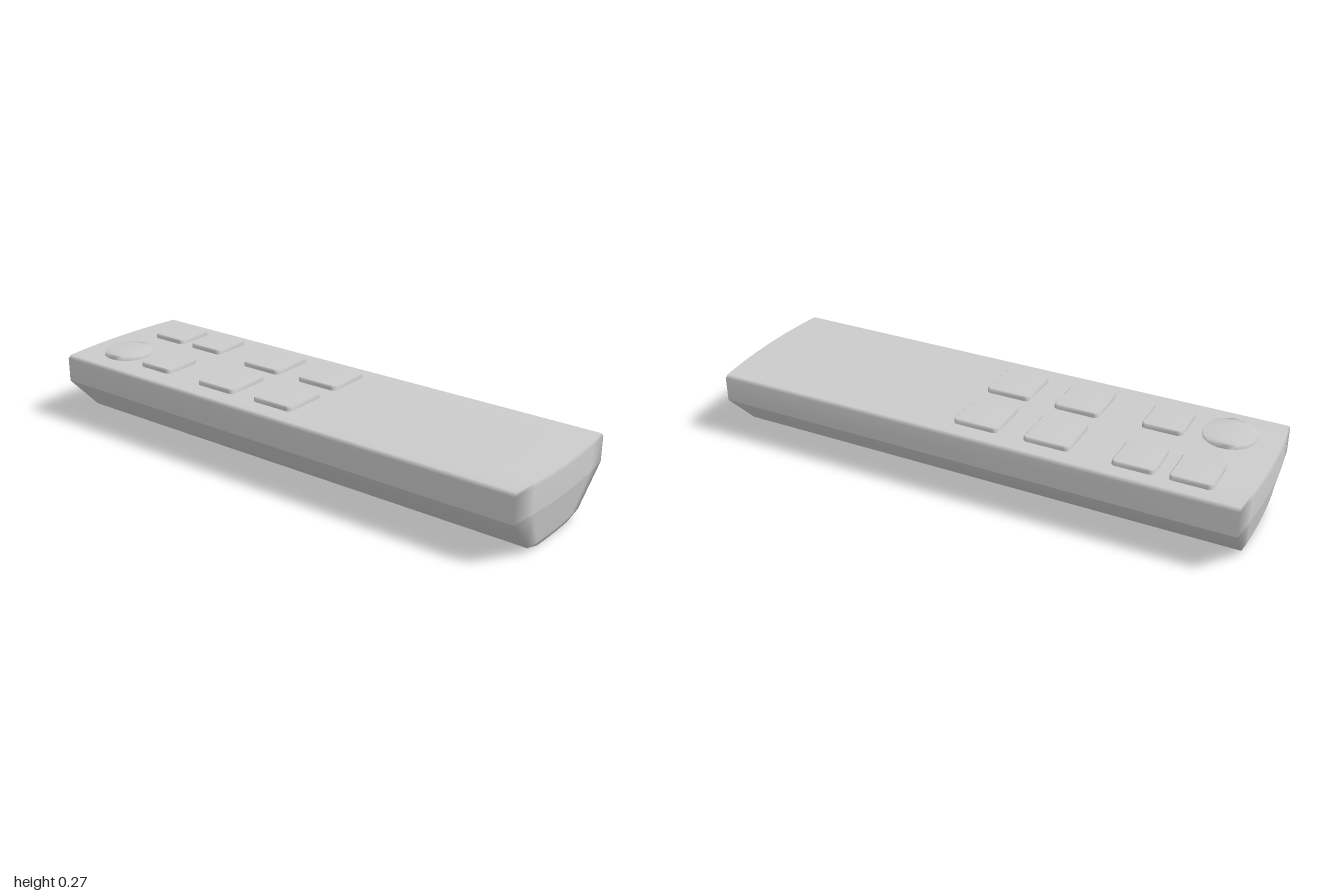
import * as THREE from 'three';

const material = new THREE.MeshStandardMaterial({ color: 0xcccccc });

// Stacks outlines upwards. Each ring is { y, half }, where half lists the
// [x, z] points of the +x side from front to back; the -x side is mirrored.
function loft(rings, capBottom, capTop) {
  const m = rings[0].half.length, n = m * 2;
  const pos = [], idx = [];
  for (const { y, half } of rings) {
    for (const [x, z] of half) pos.push(x, y, z);
    for (const [x, z] of [...half].reverse()) pos.push(-x, y, z);
  }
  for (let r = 0; r < rings.length - 1; r++) {
    for (let i = 0; i < n; i++) {
      const a = r * n + i, b = r * n + (i + 1) % n;
      idx.push(a, b, b + n, a, b + n, a + n);
    }
  }
  const top = (rings.length - 1) * n;
  for (let i = 0; i < m - 1; i++) {
    const j = n - 1 - i;
    if (capTop) idx.push(top + i, top + i + 1, top + j, top + i + 1, top + j - 1, top + j);
    if (capBottom) idx.push(i, j, i + 1, i + 1, j, j - 1);
  }
  const geo = new THREE.BufferGeometry();
  geo.setAttribute('position', new THREE.Float32BufferAttribute(pos, 3));
  geo.setIndex(idx);
  geo.computeVertexNormals();
  return geo;
}

// Body outline with gently bowed ends
function bodyRing(y, hx, hz) {
  const half = [];
  for (let i = 0; i <= 6; i++) {
    const z = hz * (1 - i / 3);
    half.push([hx - 0.02 * (z / 0.292) ** 2, z]);
  }
  return { y, half };
}

// Rounded rectangle outline
function rectRing(y, hx, hz, r) {
  const half = [];
  for (const s of [1, -1]) {
    for (let i = 0; i <= 3; i++) {
      const a = (s > 0 ? 1 - i / 3 : -i / 3) * Math.PI / 2;
      half.push([hx - r + r * Math.cos(a), s * (hz - r) + r * Math.sin(a)]);
    }
  }
  return { y, half };
}

// Sixteen-sided round outline
function roundRing(y, r) {
  const half = [];
  for (let i = 0; i < 8; i++) {
    const a = Math.PI / 2 - (i + 0.5) * Math.PI / 8;
    half.push([r * Math.cos(a), r * Math.sin(a)]);
  }
  return { y, half };
}

export function createModel() {
  const model = new THREE.Group();
  const add = (name, geo, x = 0, z = 0) => {
    const mesh = new THREE.Mesh(geo, material);
    mesh.name = name;
    mesh.position.set(x, 0, z);
    model.add(mesh);
  };

  // Tapered underside and straight upper housing meet at a sharp seam
  add('lowerHousing', loft([
    bodyRing(0, 0.97, 0.1),
    bodyRing(0.02, 0.977, 0.17),
    bodyRing(0.152, 1, 0.292),
  ], true, false));
  add('upperHousing', loft([
    bodyRing(0.152, 1, 0.292),
    bodyRing(0.244, 1, 0.292),
    bodyRing(0.256, 0.996, 0.281),
  ], false, true));

  // Rectangular buttons: [x, z, half width, half depth]
  const buttons = [
    [-0.797, -0.15, 0.074, 0.08],
    [-0.6, -0.15, 0.074, 0.08],
    [-0.6, 0.123, 0.074, 0.08],
  ];
  for (const x of [-0.289, -0.024]) {
    for (const z of [-0.13, 0.121]) buttons.push([x, z, 0.084, 0.092]);
  }
  for (const [x, z, hx, hz] of buttons) {
    add('button', loft([
      rectRing(0.25, hx, hz, 0.016),
      rectRing(0.268, hx, hz, 0.016),
      rectRing(0.273, hx - 0.005, hz - 0.005, 0.013),
    ], false, true), x, z);
  }

  // Round power button
  add('powerButton', loft([
    roundRing(0.25, 0.094),
    roundRing(0.272, 0.094),
  ], false, true), -0.816, 0.126);

  return model;
}
